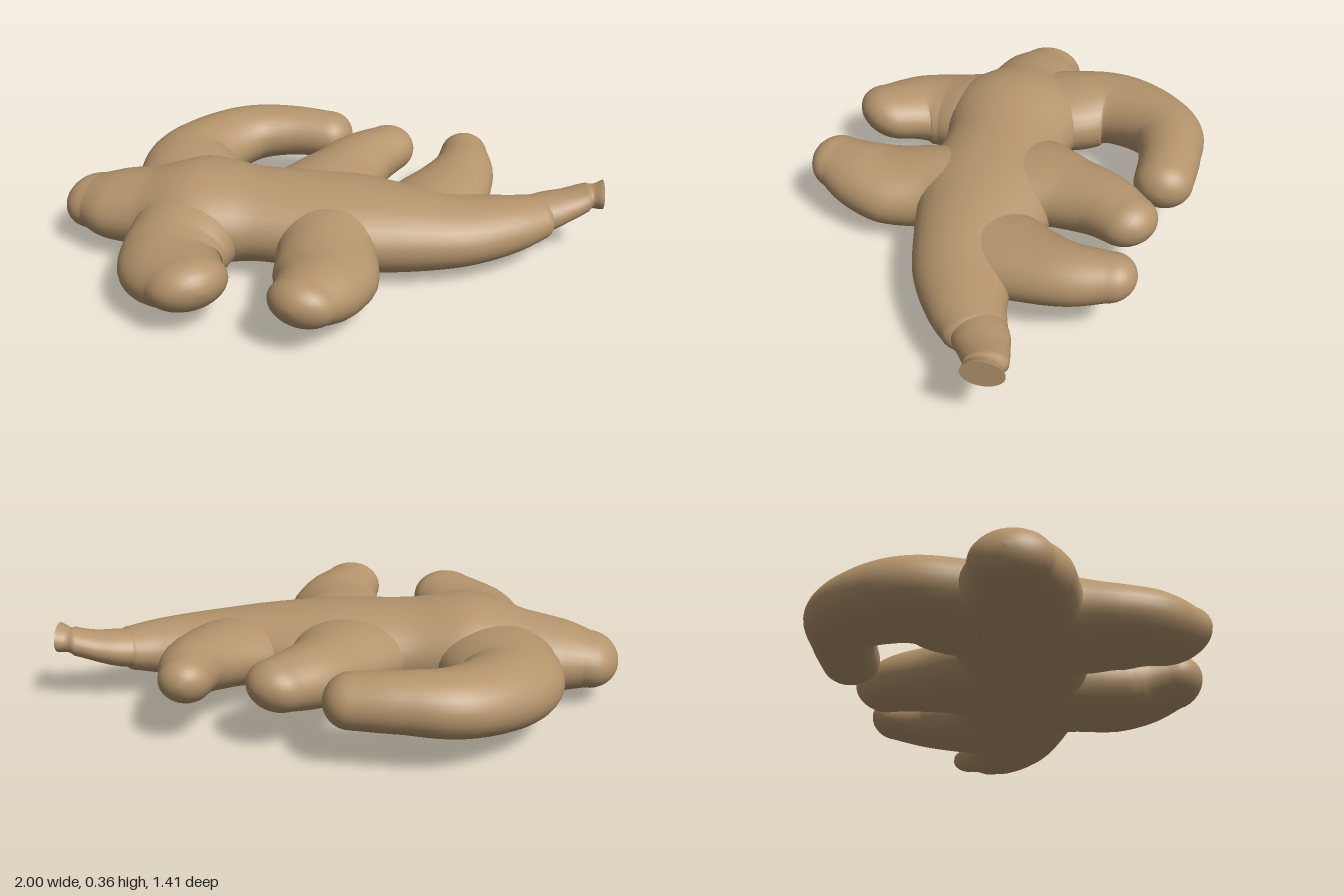
import * as THREE from 'three';

const SIDES = 32, STEPS = 9, CAP = 8;
const skin = new THREE.MeshStandardMaterial({ color: 0xb4946c });

// Lofts elliptical rings along a smooth path.
// Stations are [x, y, z, halfWidth, halfHeight]; caps are dome lengths (0 = flat cut).
function limb(name, stations, startCap, endCap) {
  const path = new THREE.CatmullRomCurve3(stations.map(s => new THREE.Vector3(s[0], s[1], s[2])));
  const size = new THREE.CatmullRomCurve3(stations.map(s => new THREE.Vector3(s[3], s[4], 0)));
  const up = new THREE.Vector3(0, 1, 0);
  const positions = [], index = [];
  let rings = 0;

  const ring = (t, scale, advance) => {
    const tangent = path.getTangent(t);
    const centre = path.getPoint(t).addScaledVector(tangent, advance);
    const side = new THREE.Vector3().crossVectors(tangent, up).normalize();
    const r = size.getPoint(t);
    for (let j = 0; j < SIDES; j++) {
      const a = (j / SIDES) * Math.PI * 2;
      const w = Math.cos(a) * r.x * scale, h = Math.sin(a) * r.y * scale;
      positions.push(centre.x + side.x * w, centre.y + h, centre.z + side.z * w);
    }
    rings++;
  };
  const dome = (t, length, sign) => {
    for (let k = 0; k <= CAP; k++) {
      const a = (sign < 0 ? 1 - k / CAP : k / CAP) * Math.PI / 2;
      ring(t, Math.cos(a), sign * Math.sin(a) * length);
    }
  };

  dome(0, startCap, -1);
  const n = (stations.length - 1) * STEPS;
  for (let i = 1; i < n; i++) ring(i / n, 1, 0);
  if (endCap === 0) ring(1, 1, 0); // doubled ring keeps the cut edge sharp
  dome(1, endCap, 1);

  for (let i = 0; i < rings - 1; i++) {
    for (let j = 0; j < SIDES; j++) {
      const k = (j + 1) % SIDES;
      const a = i * SIDES + j, b = i * SIDES + k;
      index.push(a, a + SIDES, b, b, a + SIDES, b + SIDES);
    }
  }
  const geometry = new THREE.BufferGeometry();
  geometry.setAttribute('position', new THREE.Float32BufferAttribute(positions, 3));
  geometry.setIndex(index);
  geometry.computeVertexNormals();
  const mesh = new THREE.Mesh(geometry, skin);
  mesh.name = name;
  return mesh;
}

export function createModel() {
  const root = new THREE.Group();
  root.name = 'knobblyRoot';
  root.add(
    // Long main body, from the rounded right lobe to the narrowing left end
    limb('mainBody', [
      [-0.89, 0.16, 0.045, 0.135, 0.10],
      [-0.80, 0.165, 0.055, 0.178, 0.122],
      [-0.66, 0.175, 0.06, 0.195, 0.14],
      [-0.45, 0.186, 0.06, 0.275, 0.178],
      [-0.22, 0.185, 0.04, 0.235, 0.155],
      [0.05, 0.175, 0.01, 0.26, 0.155],
      [0.30, 0.165, -0.01, 0.215, 0.143],
      [0.50, 0.162, -0.045, 0.175, 0.12],
      [0.66, 0.17, -0.11, 0.135, 0.10],
      [0.76, 0.18, -0.17, 0.108, 0.078],
    ], 0.11, 0.06),
    // Thin tail with a flat cut end
    limb('cutTail', [
      [0.68, 0.175, -0.13, 0.09, 0.07],
      [0.80, 0.193, -0.205, 0.092, 0.066],
      [0.87, 0.21, -0.24, 0.08, 0.056],
      [0.94, 0.235, -0.268, 0.07, 0.05],
      [0.995, 0.25, -0.275, 0.07, 0.05],
    ], 0.05, 0),
    // Curled back finger
    limb('curledFinger', [
      [-0.52, 0.18, 0.02, 0.24, 0.12],
      [-0.57, 0.185, -0.14, 0.215, 0.135],
      [-0.615, 0.195, -0.29, 0.182, 0.13],
      [-0.56, 0.21, -0.43, 0.162, 0.122],
      [-0.44, 0.228, -0.55, 0.14, 0.11],
      [-0.28, 0.238, -0.59, 0.115, 0.10],
      [-0.12, 0.235, -0.597, 0.108, 0.092],
    ], 0.1, 0.095),
    // Middle back finger
    limb('middleFinger', [
      [-0.06, 0.18, 0.0, 0.26, 0.12],
      [-0.03, 0.19, -0.15, 0.215, 0.13],
      [0.01, 0.205, -0.29, 0.16, 0.118],
      [0.06, 0.22, -0.41, 0.137, 0.108],
      [0.135, 0.232, -0.515, 0.113, 0.09],
    ], 0.1, 0.107),
    // Outer back finger
    limb('outerFinger', [
      [0.32, 0.17, 0.0, 0.20, 0.11],
      [0.38, 0.18, -0.14, 0.19, 0.115],
      [0.432, 0.2, -0.27, 0.155, 0.108],
      [0.46, 0.22, -0.39, 0.122, 0.098],
      [0.448, 0.235, -0.53, 0.092, 0.08],
    ], 0.1, 0.09),
    // Bent stub at the front right
    limb('bentFrontStub', [
      [-0.46, 0.175, 0.08, 0.23, 0.13],
      [-0.46, 0.165, 0.24, 0.205, 0.145],
      [-0.463, 0.155, 0.36, 0.19, 0.127],
      [-0.44, 0.155, 0.45, 0.18, 0.12],
      [-0.345, 0.18, 0.555, 0.145, 0.10],
    ], 0.1, 0.13),
    // Straight stub at the front left
    limb('straightFrontStub', [
      [0.04, 0.17, 0.05, 0.25, 0.13],
      [0.065, 0.16, 0.24, 0.18, 0.138],
      [0.095, 0.158, 0.39, 0.183, 0.125],
      [0.095, 0.172, 0.49, 0.158, 0.115],
      [0.07, 0.193, 0.60, 0.122, 0.09],
    ], 0.1, 0.10),
  );
  return root;
}
